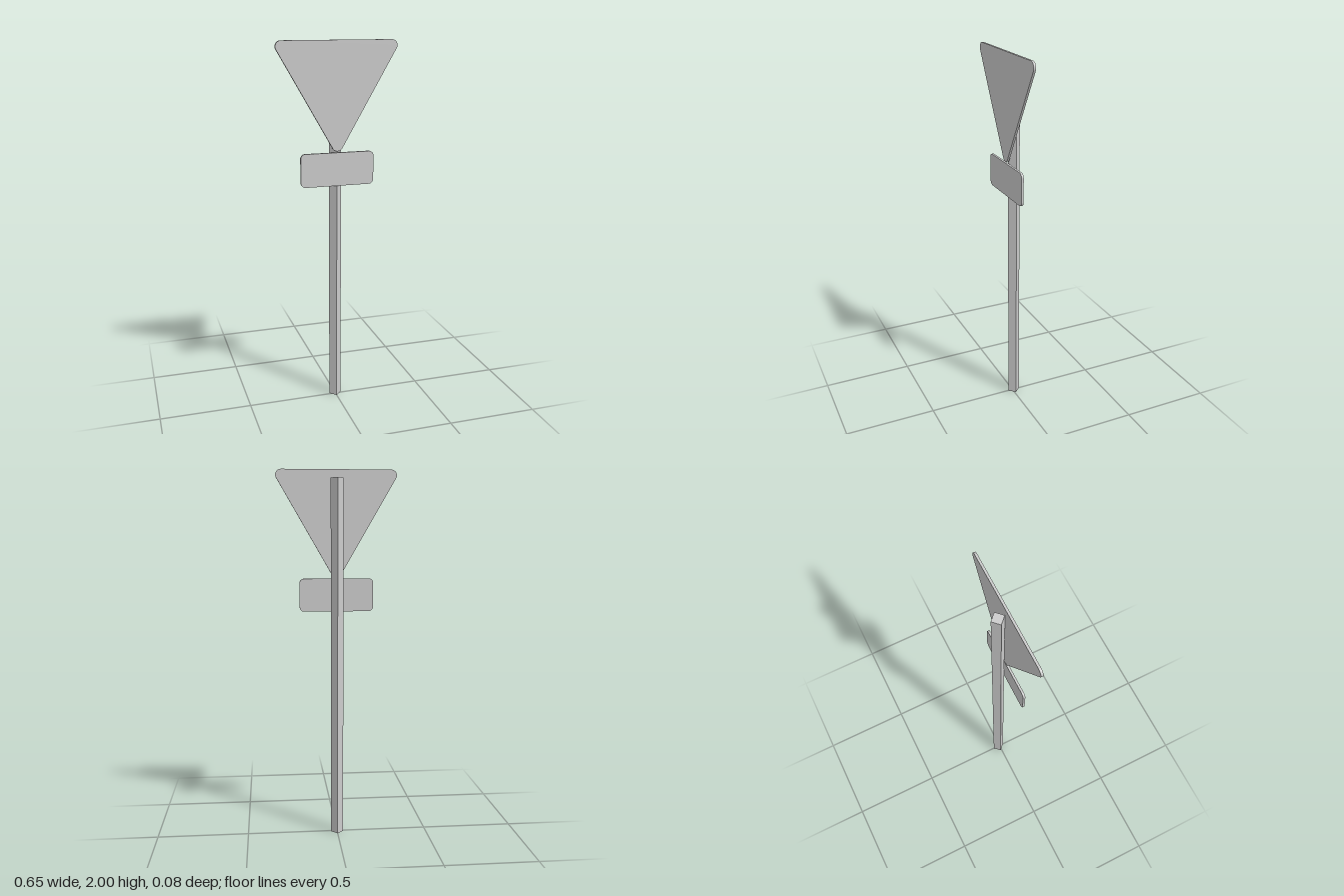
import * as THREE from 'three';

const material = new THREE.MeshStandardMaterial({ color: 0xcccccc });
const BACK = 0.029, THICKNESS = 0.012;

// Outline with rounded corners: arcs around each corner centre, counter-clockwise
function roundedOutline(centres, radius) {
  const shape = new THREE.Shape();
  const n = centres.length;
  centres.forEach(([x, y], i) => {
    const [px, py] = centres[(i + n - 1) % n];
    const [nx, ny] = centres[(i + 1) % n];
    const start = Math.atan2(y - py, x - px) - Math.PI / 2;
    let end = Math.atan2(ny - y, nx - x) - Math.PI / 2;
    while (end < start) end += 2 * Math.PI;
    shape.absarc(x, y, radius, start, end, false);
  });
  shape.closePath();
  return shape;
}

function makePlate(name, centres, radius) {
  const geometry = new THREE.ExtrudeGeometry(roundedOutline(centres, radius), {
    depth: THICKNESS, bevelEnabled: false, curveSegments: 8,
  });
  const mesh = new THREE.Mesh(geometry, material);
  mesh.name = name;
  mesh.position.z = BACK;
  return mesh;
}

export function createModel() {
  const group = new THREE.Group();
  group.name = 'roadSign';

  // Square post turned so that an edge faces the front
  const side = 0.034 * Math.SQRT2, height = 1.955;
  const post = new THREE.Mesh(new THREE.BoxGeometry(side, height, side), material);
  post.name = 'post';
  post.rotation.y = Math.PI / 4;
  post.position.set(0, height / 2, -0.008);
  group.add(post);

  // Triangular sign pointing down
  const r = 0.03, a = 0.293, top = 2 - r;
  group.add(makePlate('triangleSign', [[a, top], [-a, top], [0, top - a * Math.sqrt(3)]], r));

  // Small rectangular sign below it
  const c = 0.025, w = 0.2 - c, low = 1.247 + c, high = 1.425 - c;
  group.add(makePlate('lowerSign', [[w, high], [-w, high], [-w, low], [w, low]], c));

  return group;
}
